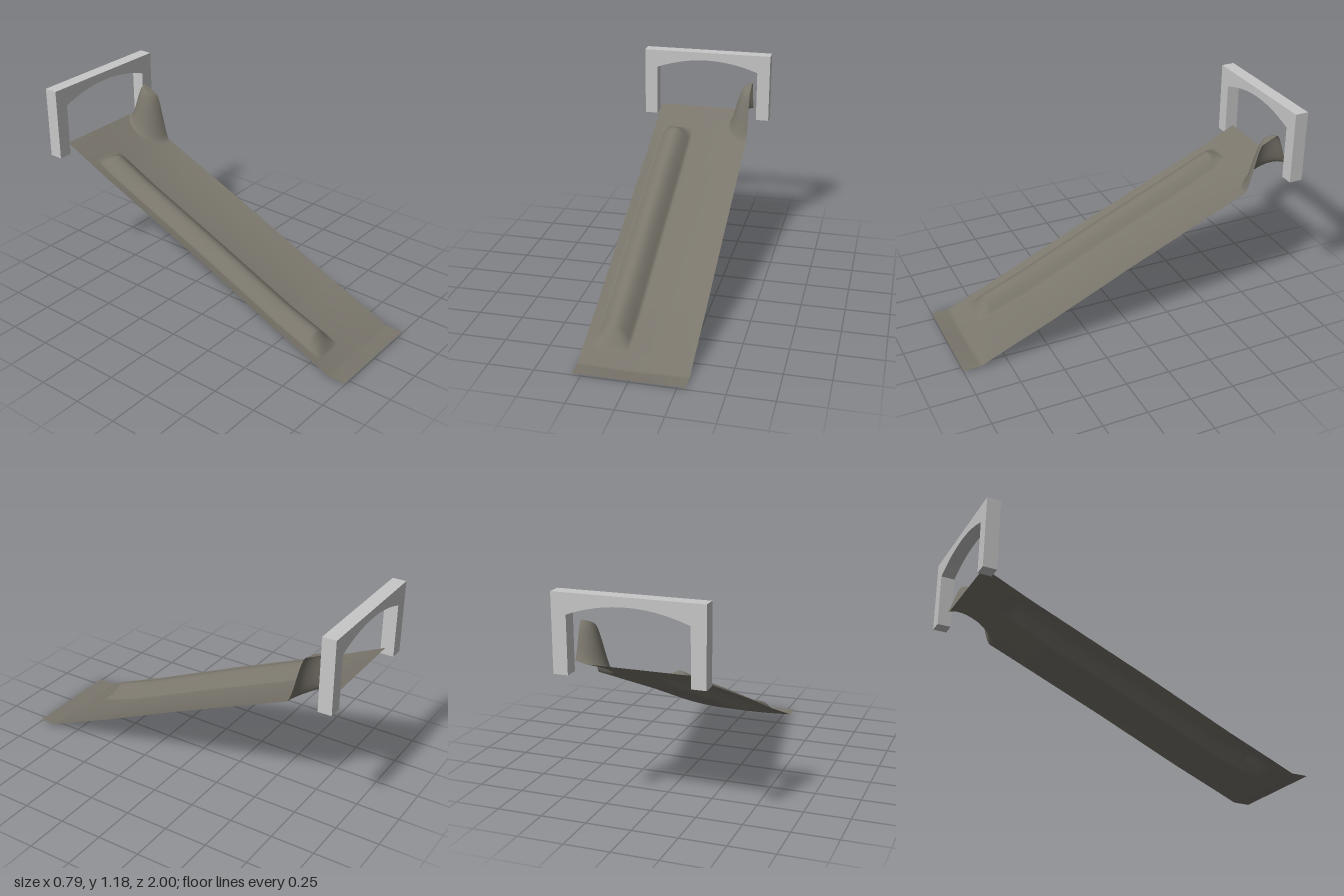
import * as THREE from 'three';

const clay = new THREE.MeshStandardMaterial({ color: 0x7a766c, side: THREE.DoubleSide });
clay.name = 'warm grey sheet';
const stone = new THREE.MeshStandardMaterial({ color: 0xc8c8c8 });
stone.name = 'light grey gate';

// Ramp stations: z, height of the side edges, sag of the middle
const STATIONS = [
  [1, 0.01, 0], [0.9, 0.01, 0.01], [0.79, 0.058, 0.015], [0.5, 0.18, 0.031],
  [0, 0.405, 0.033], [-0.5, 0.62, 0.032], [-0.7, 0.705, 0.02], [-0.96, 0.825, 0],
];
const HALF = 0.296;
const { smoothstep, lerp, clamp } = THREE.MathUtils;

function station(z) {
  let i = 0;
  while (i < STATIONS.length - 2 && z < STATIONS[i + 1][0]) i++;
  const [a, b] = [STATIONS[i], STATIONS[i + 1]];
  const t = (z - a[0]) / (b[0] - a[0]);
  return [lerp(a[1], b[1], t), lerp(a[2], b[2], t)];
}

// Long rounded ridge with sloped ends
function ridge(x, z) {
  const u = Math.abs(x + 0.15) / 0.09;
  if (u >= 1) return 0;
  const end = clamp(Math.min((0.8 - z) / 0.08, (z + 0.785) / 0.08), 0, 1);
  return 0.068 * Math.cos(u * Math.PI / 2) * end;
}

// Half mound cut off by the side edge
function mound(x, z) {
  const r = Math.hypot(x - HALF, z + 0.835);
  return 0.238 * (1 - smoothstep(r, 0.042, 0.138));
}

function height(x, z) {
  const [edge, sag] = station(z);
  return edge - sag * (1 - (x / HALF) ** 2) + ridge(x, z) + mound(x, z);
}

function buildRamp() {
  const geo = new THREE.PlaneGeometry(2 * HALF, 1.96, 74, 196);
  geo.rotateX(-Math.PI / 2);
  geo.translate(0, 0, 0.02);
  const p = geo.attributes.position;
  for (let i = 0; i < p.count; i++) p.setY(i, height(p.getX(i), p.getZ(i)));
  geo.computeVertexNormals();
  const mesh = new THREE.Mesh(geo, clay);
  mesh.name = 'ramp';
  return mesh;
}

// Gate with an arched underside
function buildGate() {
  const s = new THREE.Shape();
  s.moveTo(-0.396, 0.772);
  s.lineTo(-0.318, 0.772);
  s.lineTo(-0.318, 1.076);
  s.quadraticCurveTo(0, 1.196, 0.318, 1.076);
  s.lineTo(0.318, 0.772);
  s.lineTo(0.396, 0.772);
  s.lineTo(0.396, 1.185);
  s.lineTo(-0.396, 1.185);
  s.closePath();
  const geo = new THREE.ExtrudeGeometry(s, { depth: 0.077, bevelEnabled: false, curveSegments: 24 });
  geo.translate(0, 0, -1);
  const mesh = new THREE.Mesh(geo, stone);
  mesh.name = 'gate';
  return mesh;
}

export function createModel() {
  const group = new THREE.Group();
  group.name = 'rampWithGate';
  group.add(buildRamp(), buildGate());
  return group;
}
